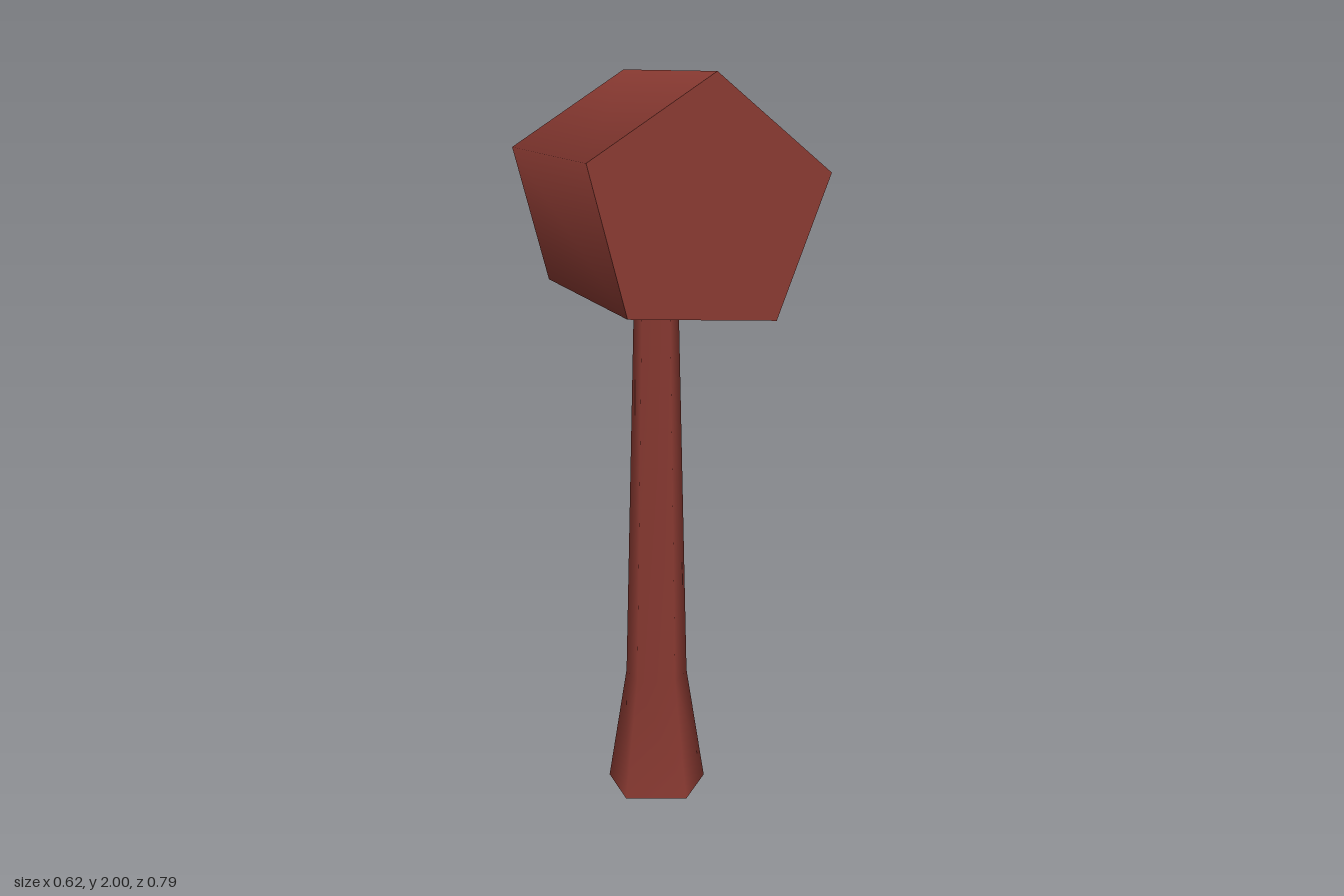
import * as THREE from 'three';

export function createModel() {
  const model = new THREE.Group();
  const redWood = new THREE.MeshStandardMaterial({ color: 0x8a3a32 });
  redWood.name = 'redWood';

  const add = (parent, name, geometry, x, y, z) => {
    const mesh = new THREE.Mesh(geometry, redWood);
    mesh.name = name;
    mesh.position.set(x, y, z);
    parent.add(mesh);
  };

  // Five-sided mallet head lying along z, rolled slightly off its point
  const head = new THREE.CylinderGeometry(0.329, 0.329, 0.79, 5, 1, false, Math.PI - 0.054);
  head.rotateX(Math.PI / 2);
  add(model, 'head', head, -0.008, 1.671, 0);

  // Five-sided tapered handle with a flared foot, one corner towards +x
  const handle = new THREE.Group();
  handle.name = 'handle';
  handle.position.set(-0.009, 0, -0.031);
  const profile = [[0.144, 0], [0.09, 0.33], [0.063, 1.42]].map(([r, y]) => new THREE.Vector2(r, y));
  add(handle, 'shaft', new THREE.LatheGeometry(profile, 5, Math.PI / 2), 0, 0, 0);

  // Flat end caps, the upper one hidden inside the head
  add(handle, 'footCap', new THREE.CircleGeometry(0.144, 5).rotateX(Math.PI / 2), 0, 0, 0);
  add(handle, 'topCap', new THREE.CircleGeometry(0.063, 5).rotateX(-Math.PI / 2), 0, 1.42, 0);
  model.add(handle);

  return model;
}
